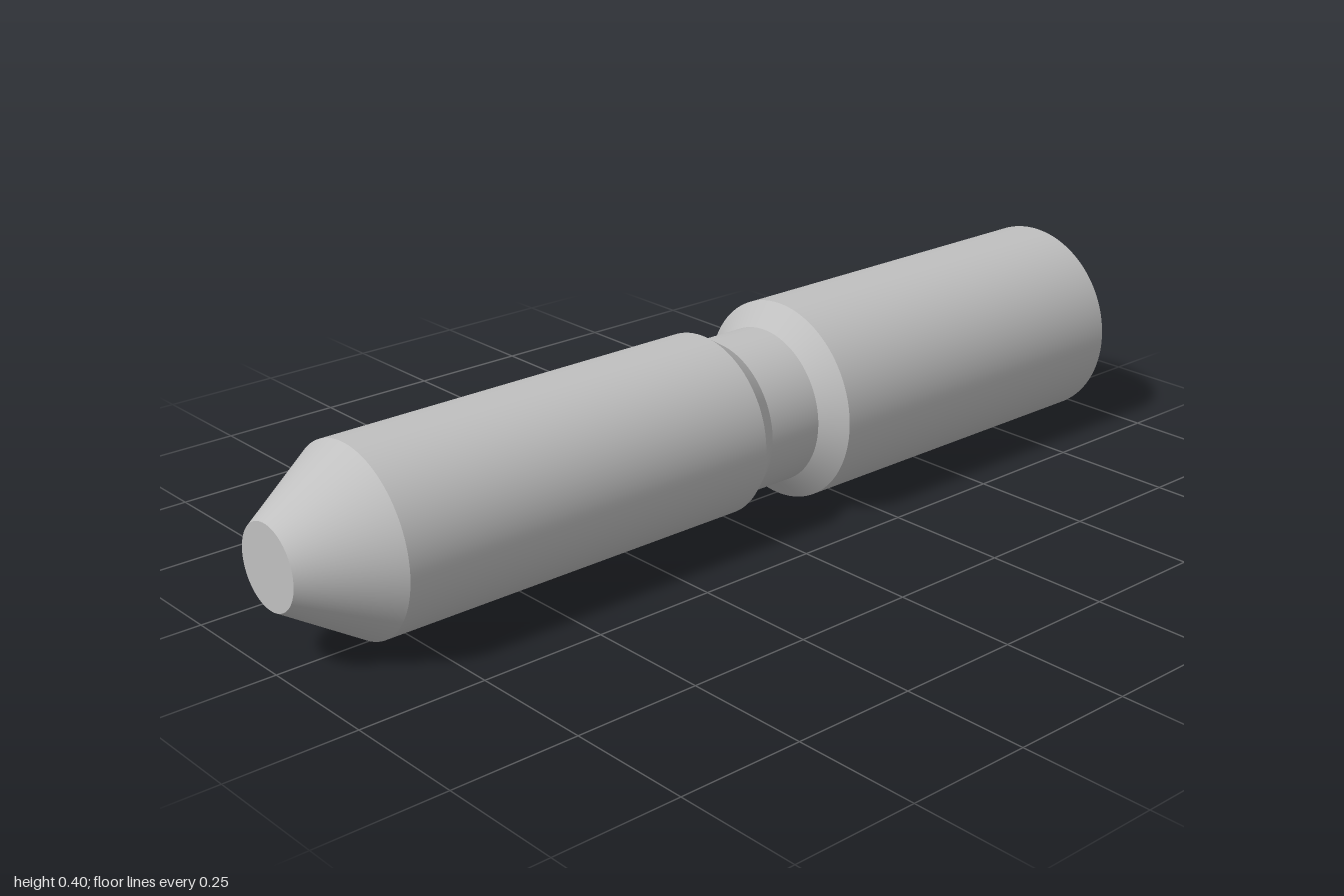
import * as THREE from 'three';

const SIDES = 96;
const AXIS_HEIGHT = 0.2;

export function createModel() {
  const group = new THREE.Group();
  group.name = 'steppedPin';
  const steel = new THREE.MeshStandardMaterial({ color: 0xc0c0c0 });
  steel.name = 'steel grey';

  // Turned sections from back to front: name, back z, front z, back radius, front radius
  const sections = [
    ['backChamfer', -1, -0.92, 0.11, 0.2],
    ['thickShaft', -0.92, -0.16, 0.2, 0.2],
    ['thickShaftShoulder', -0.16, -0.12, 0.2, 0.155],
    ['neck', -0.12, 0, 0.155, 0.155],
    ['thinShaftShoulder', 0, 0.04, 0.155, 0.18],
    ['thinShaft', 0.04, 0.84, 0.18, 0.18],
    ['frontTaper', 0.84, 1, 0.18, 0.08],
  ];

  const add = (name, geometry, z) => {
    const mesh = new THREE.Mesh(geometry, steel);
    mesh.name = name;
    mesh.position.set(0, AXIS_HEIGHT, z);
    group.add(mesh);
    return mesh;
  };

  // Open sections share their rims, so every step keeps a crisp edge
  for (const [name, z0, z1, r0, r1] of sections) {
    const geometry = new THREE.CylinderGeometry(r1, r0, z1 - z0, SIDES, 1, true);
    geometry.rotateX(Math.PI / 2);
    add(name, geometry, (z0 + z1) / 2);
  }

  // Flat end faces
  add('frontFace', new THREE.CircleGeometry(0.08, SIDES), 1);
  add('backFace', new THREE.CircleGeometry(0.11, SIDES), -1).rotation.y = Math.PI;

  return group;
}
